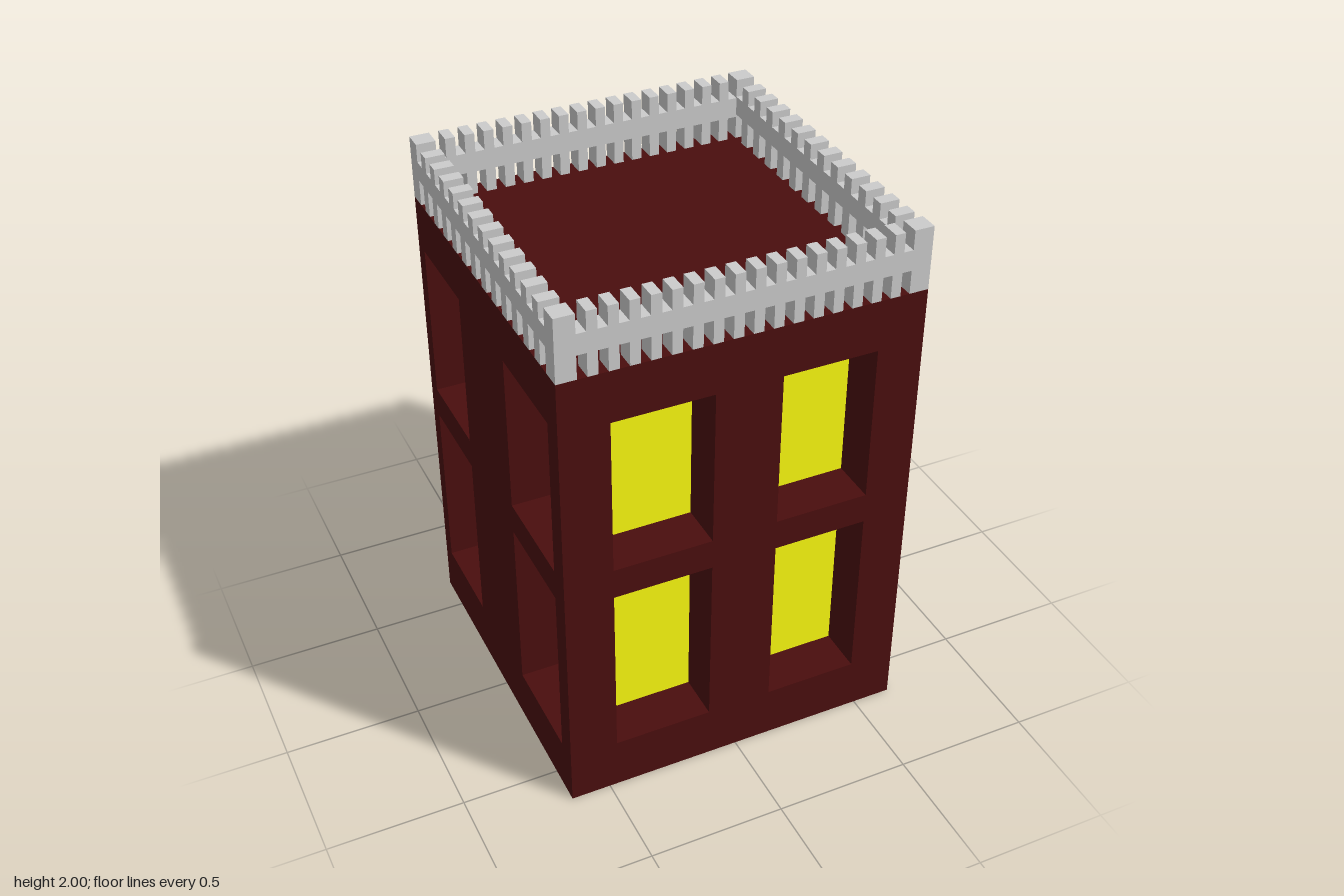
import * as THREE from 'three';
import { mergeGeometries } from 'three/addons/utils/BufferGeometryUtils.js';

const HALF = 0.645;   // half width of the square house
const ROOF = 1.77;    // roof height
const RAIL = 0.07;    // parapet thickness

const paint = (color) => new THREE.MeshStandardMaterial({ color });
const brick = paint(0x4a0e0e);
const glass = paint(0xfcfc10);
const wood = paint(0x4d3a13);
const brass = paint(0x7d5a0c);
const stone = paint(0xcccccc);

function add(parent, name, geometry, material, x = 0, y = 0, z = 0) {
  const mesh = new THREE.Mesh(geometry, material);
  mesh.name = name;
  mesh.position.set(x, y, z);
  parent.add(mesh);
  return mesh;
}

// The four inner sides of a recess, open at front and back
function liningGeometry(w, h, d) {
  return mergeGeometries([
    new THREE.PlaneGeometry(d, h).rotateY(Math.PI / 2).translate(-w / 2, 0, 0),
    new THREE.PlaneGeometry(d, h).rotateY(-Math.PI / 2).translate(w / 2, 0, 0),
    new THREE.PlaneGeometry(w, d).rotateX(-Math.PI / 2).translate(0, -h / 2, 0),
    new THREE.PlaneGeometry(w, d).rotateX(Math.PI / 2).translate(0, h / 2, 0),
  ]);
}

// One wall, facing local +z, with recessed openings
function makeWall(name, turn, openings) {
  const wall = new THREE.Group();
  wall.name = name;
  wall.rotation.y = turn;
  const face = new THREE.Shape([
    new THREE.Vector2(-HALF, 0), new THREE.Vector2(HALF, 0),
    new THREE.Vector2(HALF, ROOF), new THREE.Vector2(-HALF, ROOF),
  ]);
  for (const { part, material, u, v, depth } of openings) {
    const [u0, u1] = u, [v0, v1] = v;
    face.holes.push(new THREE.Path([
      new THREE.Vector2(u0, v0), new THREE.Vector2(u0, v1),
      new THREE.Vector2(u1, v1), new THREE.Vector2(u1, v0),
    ]));
    const w = u1 - u0, h = v1 - v0, x = (u0 + u1) / 2, y = (v0 + v1) / 2;
    add(wall, part + 'Recess', liningGeometry(w, h, depth), brick, x, y, HALF - depth / 2);
    add(wall, part, new THREE.PlaneGeometry(w, h), material, x, y, HALF - depth);
  }
  add(wall, 'wallFace', new THREE.ShapeGeometry(face), brick, 0, 0, HALF);
  return wall;
}

const LOWER = [0.2, 0.875], UPPER = [0.99, 1.58];
const pane = (u, v, depth = 0.17) => ({ part: 'window', material: glass, u, v, depth });
const fourPanes = (a, b) => [LOWER, UPPER].flatMap((v) => [pane(a, v), pane(b, v)]);

// One parapet run between two corner posts, facing local +z
function makeParapet(name, turn, { count, width, low, high, top }) {
  const run = new THREE.Group();
  run.name = name;
  run.rotation.y = turn;
  const length = 2 * (HALF - RAIL), z = HALF - RAIL / 2;
  add(run, 'rail', new THREE.BoxGeometry(length, high - low, RAIL), stone, 0, (low + high) / 2, z);
  const gap = (length - count * width) / (count + 1);
  const baluster = new THREE.BoxGeometry(width, low - ROOF, RAIL);
  const merlon = new THREE.BoxGeometry(width, top - high, RAIL);
  for (let i = 0; i < count; i++) {
    const x = -length / 2 + gap + width / 2 + i * (width + gap);
    add(run, 'baluster', baluster, stone, x, (ROOF + low) / 2, z);
    add(run, 'merlon', merlon, stone, x, (high + top) / 2, z);
  }
  return run;
}

export function createModel() {
  const house = new THREE.Group();
  house.name = 'house';

  // Walls with windows on every side
  house.add(makeWall('frontWall', 0, fourPanes([-0.47, -0.11], [0.13, 0.475])));
  house.add(makeWall('backWall', Math.PI, fourPanes([-0.475, -0.13], [0.11, 0.47])));
  house.add(makeWall('rightWall', -Math.PI / 2, fourPanes([-0.585, -0.23], [0.185, 0.565])));

  // Entrance wall with the door and its round knob
  const entrance = makeWall('leftWall', Math.PI / 2, [
    pane([-0.575, -0.32], UPPER, 0.145),
    pane([0.375, 0.58], UPPER, 0.145),
    { part: 'door', material: wood, u: [-0.19, 0.235], v: LOWER, depth: 0.055 },
  ]);
  add(entrance, 'doorKnob', new THREE.SphereGeometry(0.058, 32, 20), brass, 0.115, 0.535, HALF - 0.057);
  house.add(entrance);

  // Flat roof and underside
  const slab = new THREE.PlaneGeometry(2 * HALF, 2 * HALF);
  add(house, 'roof', slab, brick, 0, ROOF, 0).rotation.x = -Math.PI / 2;
  add(house, 'underside', slab, brick).rotation.x = Math.PI / 2;

  // Parapet: corner posts and four battlemented runs
  const post = new THREE.BoxGeometry(RAIL, 2 - ROOF, RAIL);
  const c = HALF - RAIL / 2;
  for (const sx of [-1, 1]) {
    for (const sz of [-1, 1]) add(house, 'cornerPost', post, stone, sx * c, (2 + ROOF) / 2, sz * c);
  }
  const fine = { count: 16, width: 0.036, low: 1.855, high: 1.93, top: 2 };
  const broad = { count: 12, width: 0.045, low: 1.865, high: 1.935, top: 1.992 };
  house.add(makeParapet('frontParapet', 0, fine));
  house.add(makeParapet('backParapet', Math.PI, fine));
  house.add(makeParapet('leftParapet', Math.PI / 2, broad));
  house.add(makeParapet('rightParapet', -Math.PI / 2, broad));

  return house;
}
